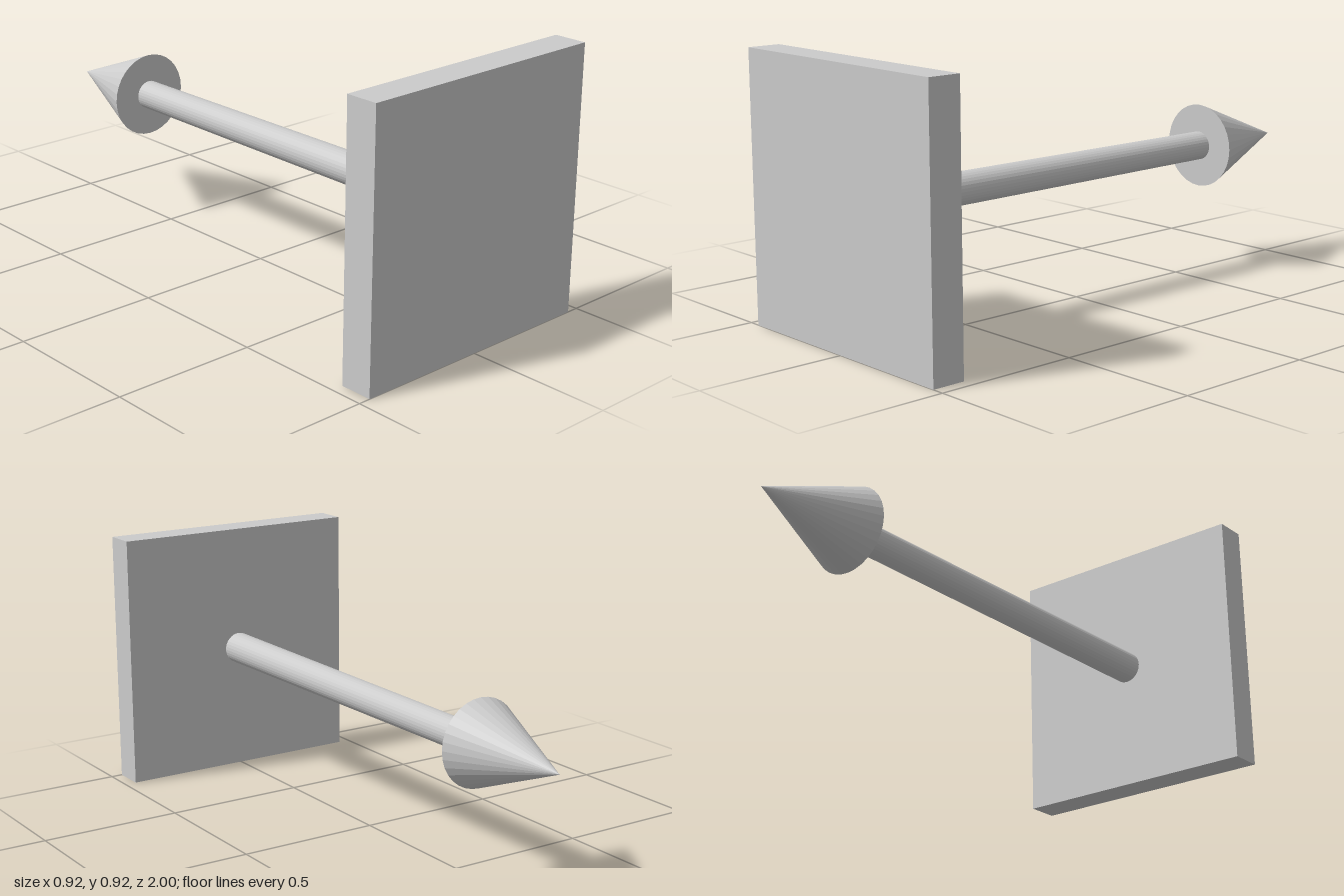
import * as THREE from 'three';

const PLATE_SIZE = 0.917;
const AXIS_Y = PLATE_SIZE / 2;
const PLATE_BACK = 0.885; // z of the plate's rear face
const HEAD_BASE = -0.615; // z where the arrow head begins
const SIDES = 32;

export function createModel() {
  const model = new THREE.Group();
  const material = new THREE.MeshStandardMaterial({ color: 0xcccccc, flatShading: true });

  // Adds a part centred on the arrow's axis, spanning zFront to zBack
  const addPart = (name, geometry, zFront, zBack) => {
    const mesh = new THREE.Mesh(geometry, material);
    mesh.name = name;
    mesh.position.set(0, AXIS_Y, (zFront + zBack) / 2);
    model.add(mesh);
  };

  // Square base plate
  addPart('plate', new THREE.BoxGeometry(PLATE_SIZE, PLATE_SIZE, 1 - PLATE_BACK), 1, PLATE_BACK);

  // Slightly tapering shaft, pointing to the back
  const shaft = new THREE.CylinderGeometry(0.051, 0.057, PLATE_BACK - HEAD_BASE, SIDES);
  addPart('shaft', shaft.rotateX(-Math.PI / 2), PLATE_BACK, HEAD_BASE);

  // Conical arrow head
  const head = new THREE.ConeGeometry(0.15, HEAD_BASE + 1, SIDES);
  addPart('arrowHead', head.rotateX(-Math.PI / 2), HEAD_BASE, -1);

  return model;
}
